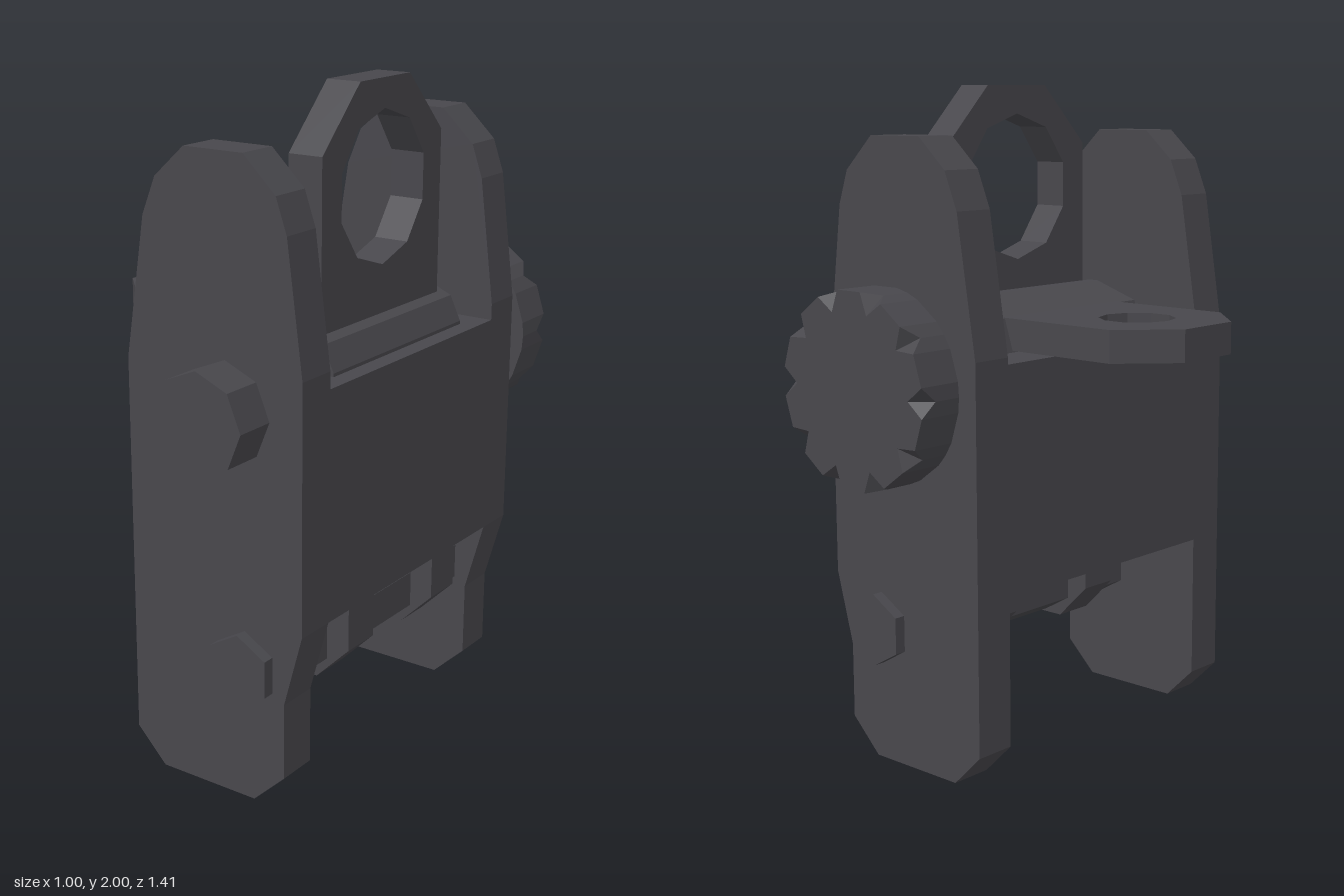
import * as THREE from 'three';

const steel = new THREE.MeshStandardMaterial({ color: 0x48474c });
steel.name = 'dark steel';

// corner points of a regular polygon, first corner at the given angle
function polygon(cx, cy, r, n, start) {
  const pts = [];
  for (let i = 0; i < n; i++) {
    const a = start + (i / n) * Math.PI * 2;
    pts.push([cx + r * Math.cos(a), cy + r * Math.sin(a)]);
  }
  return pts;
}

const vecs = (pts) => pts.map(([x, y]) => new THREE.Vector2(x, y));

// straight-sided prism along z, from z0 to z1
function prism(outline, z0, z1, hole) {
  const shape = new THREE.Shape(vecs(outline));
  if (hole) shape.holes.push(new THREE.Path(vecs(hole)));
  const g = new THREE.ExtrudeGeometry(shape, { depth: z1 - z0, bevelEnabled: false });
  return g.translate(0, 0, z0);
}

// disc with V-shaped notches cut into its outer rim; outer face at z1
function notchedKnob(r, z0, z1, count) {
  const pos = [];
  const tri = (...p) => p.forEach((v) => pos.push(...v));
  const at = (a, rad, z) => [rad * Math.cos(a), rad * Math.sin(a), z];
  const step = (Math.PI * 2) / count, half = step * 0.24;
  const back = [0, 0, z0], front = [0, 0, z1];
  for (let i = 0; i < count; i++) {
    const m = i * step, a = m - half, b = m + half, c = m + step - half;
    const A = at(a, r, z1), B = at(b, r, z1), C = at(c, r, z1);
    const A0 = at(a, r, z0), M0 = at(m, r, z0), B0 = at(b, r, z0), C0 = at(c, r, z0);
    const inner = at(m, r * 0.8, z1), low = at(m, r, z1 - 0.05);
    // outer face
    tri(front, A, inner);
    tri(front, inner, B);
    tri(front, B, C);
    // notch walls
    tri(A, low, inner);
    tri(inner, low, B);
    // rim
    tri(A0, M0, low); tri(A0, low, A);
    tri(M0, B0, B); tri(M0, B, low);
    tri(B0, C0, C); tri(B0, C, B);
    // back face
    tri(back, M0, A0); tri(back, B0, M0); tri(back, C0, B0);
  }
  const g = new THREE.BufferGeometry();
  g.setAttribute('position', new THREE.Float32BufferAttribute(pos, 3));
  g.computeVertexNormals();
  return g;
}

export function createModel() {
  const group = new THREE.Group();
  const add = (name, geometry) => {
    const mesh = new THREE.Mesh(geometry, steel);
    mesh.name = name;
    group.add(mesh);
    return mesh;
  };
  const up = Math.PI / 2;

  // two protective side plates
  const wing = [
    [-0.03, 0], [0.3, 0], [0.405, 0.1], [0.405, 0.33], [0.465, 0.55], [0.465, 1.28],
    [0.415, 1.66], [0.38, 1.76], [0.275, 1.86], [0.08, 1.86], [-0.02, 1.77],
    [-0.065, 1.66], [-0.13, 1.25], [-0.13, 0.1],
  ];
  add('frontSidePlate', prism(wing, 0.45, 0.578));
  add('rearSidePlate', prism(wing, -0.55, -0.42));

  // block between the plates
  add('body', prism([[-0.13, 0.55], [0.465, 0.55], [0.465, 1.23], [-0.13, 1.23]], -0.42, 0.45));

  // upper pivot bolt and its adjusting knob
  add('pivotBolt', prism(polygon(0.21, 1.15, 0.148, 8, up), -0.57, 0.705));
  const knob = add('adjustingKnob', notchedKnob(0.29, 0.565, 0.705, 10));
  knob.position.set(0.21, 1.15, 0);
  knob.rotation.y = Math.PI;

  // lower cross pin with two lugs hanging from the body
  add('crossPin', prism(polygon(0.27, 0.41, 0.11, 6, up), -0.585, 0.615));
  const lug = [[0.1, 0.56], [0.1, 0.4], [0.21, 0.29], [0.33, 0.29], [0.44, 0.4], [0.44, 0.56]];
  for (const z of [0.18, -0.278]) add('pinLug', prism(lug, z, z + 0.13));

  // sloped base under the apertures
  add('apertureBase', prism([
    [0.01, 1.22], [0.41, 1.22], [0.41, 1.24], [0.375, 1.315], [0.34, 1.33],
    [0.235, 1.38], [0.2, 1.38], [0.045, 1.328],
  ], -0.325, 0.353));

  // upright aperture
  const upright = prism(
    [[-0.32, 1.25], [0.293, 1.25], [0.293, 1.82], [0.113, 2], [-0.14, 2], [-0.32, 1.82]],
    0.235, 0.345, polygon(-0.014, 1.693, 0.222, 10, up));
  add('uprightAperture', upright.rotateY(up));

  // folded aperture lying flat
  const folded = prism(
    [[0.08, -0.27], [0.08, 0.247], [-0.355, 0.247], [-0.505, 0.097], [-0.505, -0.12], [-0.355, -0.27]],
    1.235, 1.33, polygon(-0.245, -0.011, 0.114, 10, 0));
  add('foldedAperture', folded.rotateX(-up));

  return group;
}
